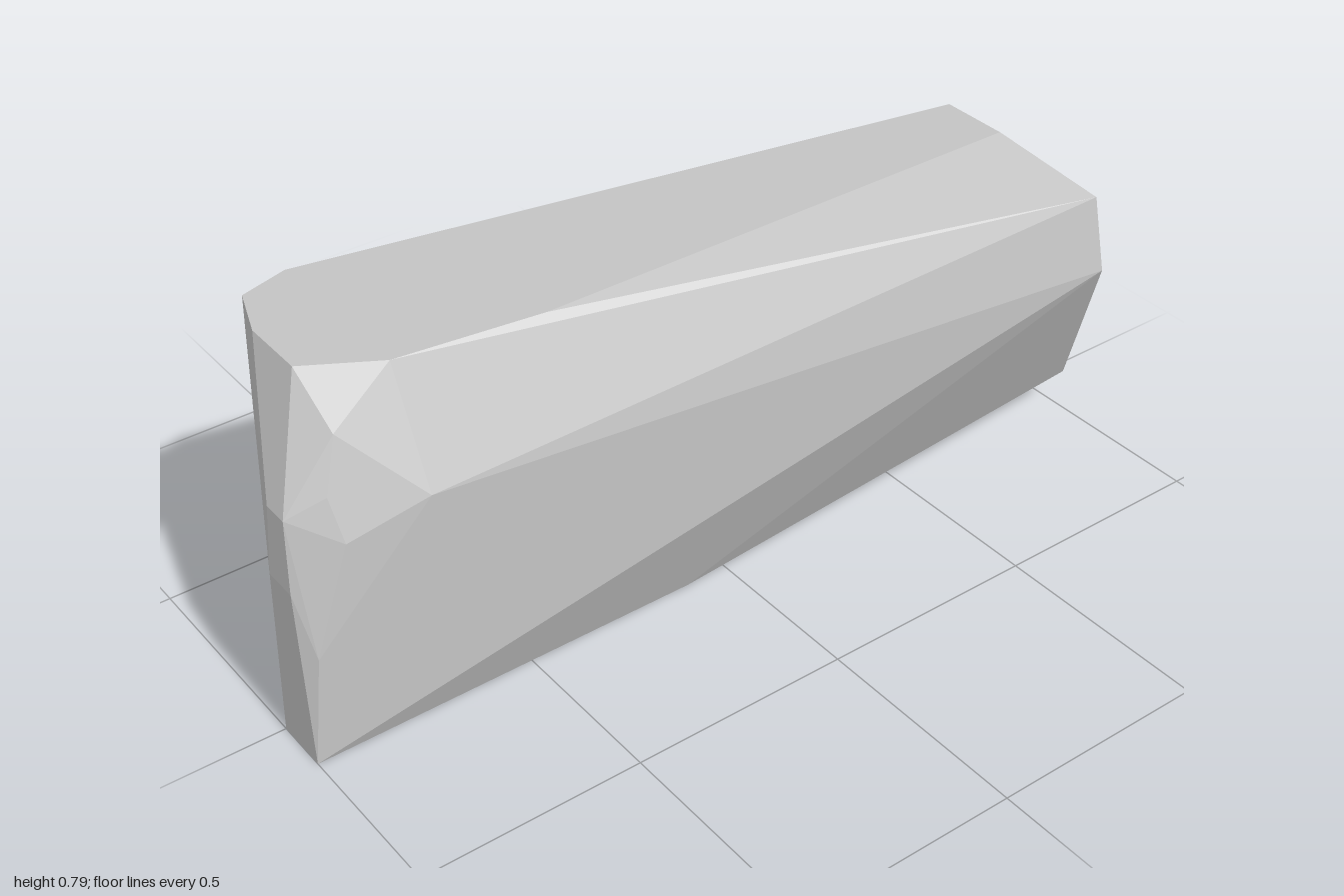
import * as THREE from 'three';
import { ConvexGeometry } from 'three/addons/geometries/ConvexGeometry.js';

const stone = new THREE.MeshStandardMaterial({ color: 0xc3c3c3 });
stone.name = 'pale grey stone';

// Places a row of [x, z] corners at one height
const ring = (y, corners) => corners.map(([x, z]) => new THREE.Vector3(x, y, z));

export function createModel() {
  const group = new THREE.Group();
  group.name = 'rock';

  const points = [
    // narrow underside
    ...ring(0, [[0.125, 1], [0, 1], [-0.05, 0.9], [-0.067, 0.72], [-0.08, 0.05], [0.125, 0.1]]),
    // flat top
    ...ring(0.785, [[-0.352, 0.72], [-0.32, 0.83], [-0.2, 0.873], [-0.05, 0.873],
      [0.04, 0.72], [0.08, 0.4], [0.08, -0.77], [-0.08, -0.77]]),
    // chipped front corner
    ...ring(0.69, [[0.06, 0.86]]),
    ...ring(0.58, [[0.088, 0.9]]),
    ...ring(0.545, [[0, 0.98], [0.06, 0.98], [0.157, 0.72]]),
    ...ring(0.49, [[0.125, 0.89]]),
    ...ring(0.39, [[0, 0.992], [0.08, 0.992]]),
    ...ring(0.25, [[0.125, 0.972]]),
    // bulging rear corner
    ...ring(0.71, [[0.313, -0.835]]),
    ...ring(0.548, [[0.352, -0.835]]),
    // blunt rear end
    ...ring(0.548, [[0.05, -1], [0.125, -1]]),
    ...ring(0.097, [[0.075, -1], [0.125, -1]]),
  ];

  // hull faces keep their own flat normals
  const body = new THREE.Mesh(new ConvexGeometry(points), stone);
  body.name = 'rockBody';
  group.add(body);
  return group;
}
